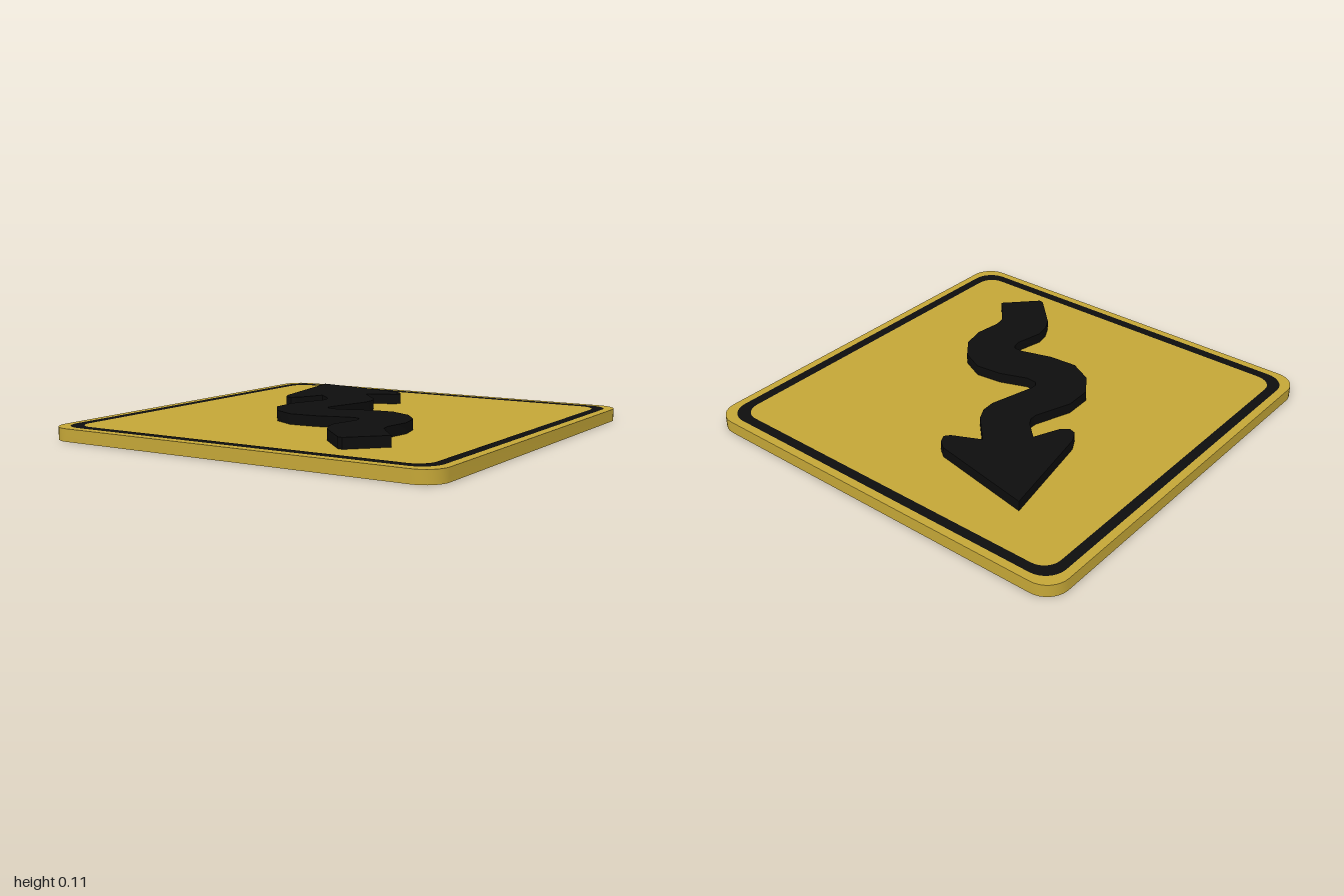
import * as THREE from 'three';
import { toCreasedNormals } from 'three/addons/utils/BufferGeometryUtils.js';

const yellow = new THREE.MeshStandardMaterial({ color: 0xc4a637 });
const black = new THREE.MeshStandardMaterial({ color: 0x0d0d0d });

// Square outline with rounded corners, h = half side, r = corner radius
function roundedSquare(h, r, Type = THREE.Shape) {
  const s = new Type();
  const c = h - r;
  for (let i = 0; i < 4; i++) {
    const a = i * Math.PI / 2;
    const sx = i === 0 || i === 3 ? 1 : -1;
    const sy = i < 2 ? 1 : -1;
    s.absarc(sx * c, sy * c, r, a, a + Math.PI / 2, false);
  }
  s.closePath();
  return s;
}

// Extrude a plan outline upwards from height y
function slab(name, shape, y, depth, material) {
  const extruded = new THREE.ExtrudeGeometry(shape, { depth, bevelEnabled: false, curveSegments: 4 });
  extruded.rotateX(-Math.PI / 2);
  const mesh = new THREE.Mesh(toCreasedNormals(extruded, 0.6), material);
  mesh.position.y = y;
  mesh.name = name;
  return mesh;
}

// Winding arrow outline as [x, z], starting at the tip
const arrowOutline = [
  // right barb
  [-0.58, -0.68], [-0.07, -0.585], [-0.03, -0.555], [-0.01, -0.515], [-0.03, -0.49], [-0.165, -0.425],
  // right edge of the shaft
  [-0.04, -0.295], [-0.01, -0.235], [-0.005, -0.165], [-0.065, 0.06], [-0.065, 0.09], [-0.05, 0.11],
  [0.005, 0.115], [0.14, 0.065], [0.27, 0.05], [0.385, 0.105], [0.46, 0.2], [0.487, 0.31],
  [0.47, 0.445], [0.48, 0.495], [0.515, 0.54],
  // tail
  [0.6, 0.64], [0.455, 0.79], [0.43, 0.785],
  // left edge of the shaft
  [0.28, 0.635], [0.245, 0.57], [0.23, 0.5], [0.26, 0.36], [0.25, 0.32], [0.235, 0.305], [0.19, 0.305],
  [0.04, 0.35], [-0.1, 0.36], [-0.215, 0.3], [-0.29, 0.195], [-0.295, 0.06], [-0.23, -0.12],
  [-0.23, -0.155], [-0.25, -0.19],
  // left barb
  [-0.33, -0.265], [-0.385, -0.14], [-0.42, -0.11], [-0.455, -0.12], [-0.485, -0.175],
];

export function createModel() {
  const sign = new THREE.Group();
  sign.name = 'roadSign';

  sign.add(slab('plate', roundedSquare(1, 0.11), 0, 0.06, yellow));

  // Painted border, a hair above the plate
  const ring = roundedSquare(0.96, 0.105);
  ring.holes.push(roundedSquare(0.91, 0.085, THREE.Path));
  const border = new THREE.Mesh(new THREE.ShapeGeometry(ring, 4).rotateX(-Math.PI / 2), black);
  border.position.y = 0.061;
  border.name = 'border';
  sign.add(border);

  // Raised arrow
  const arrow = new THREE.Shape(arrowOutline.map(([x, z]) => new THREE.Vector2(x, -z)));
  sign.add(slab('arrow', arrow, 0.06, 0.05, black));
  return sign;
}
